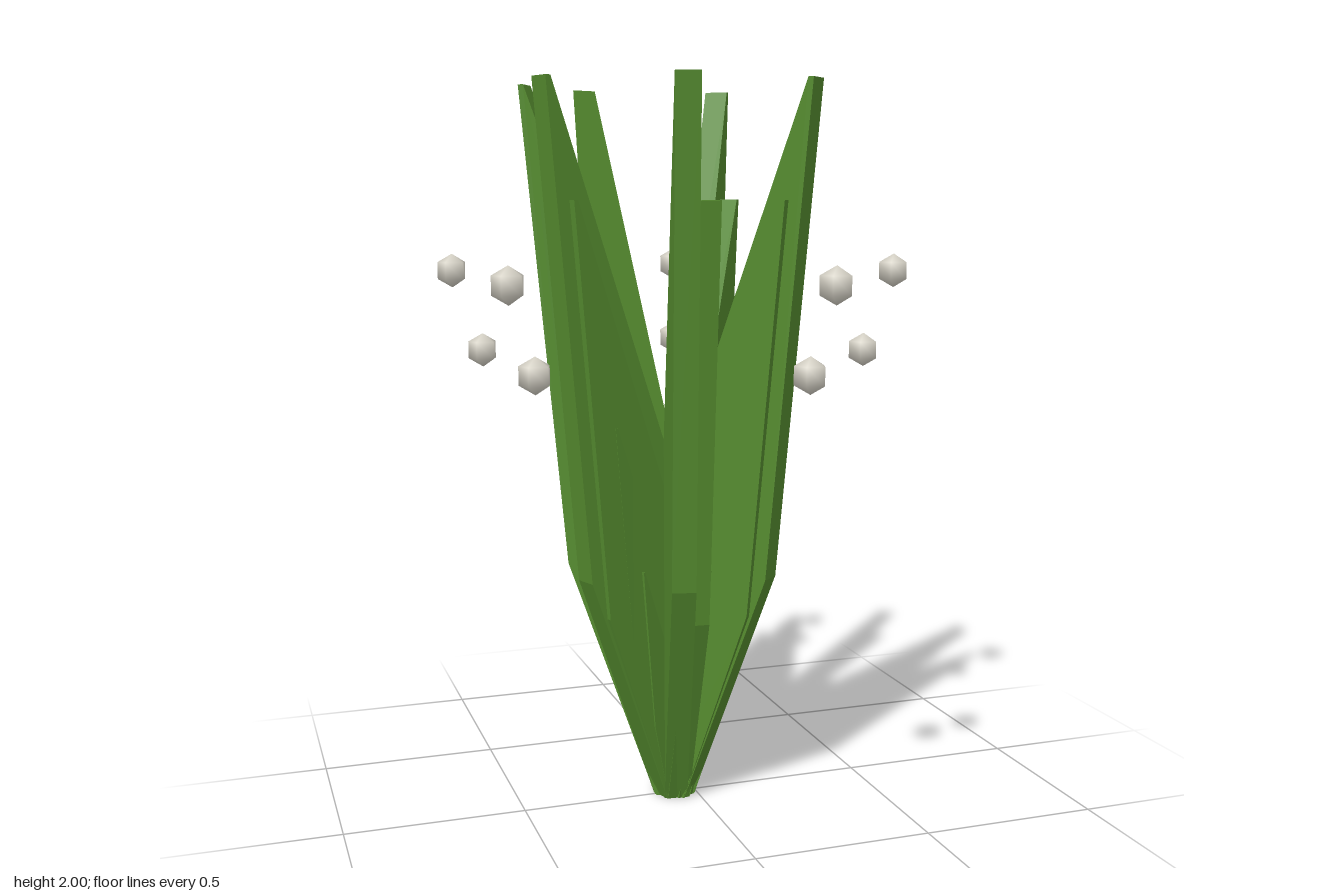
import * as THREE from 'three';

const TALL = 2;
const CENTRE_X = -0.06;

// Blade: flat slab, kinked outer edge, slanting inner edge; all sizes share one outline
function bladeGeometry(height) {
  const s = height / TALL;
  const outline = [[-0.02, 0], [0.05, 0], [0.30, 0.67], [0.425, 2], [0.41, 2], [0, 0.88], [-0.02, 0.6]];
  const shape = new THREE.Shape(outline.map(([r, y]) => new THREE.Vector2(
    y === 0 ? r : r * s, y * s)));
  const width = 0.045 + 0.02 * s;
  const geometry = new THREE.ExtrudeGeometry(shape, { depth: width, bevelEnabled: false });
  geometry.translate(0, 0, -width / 2);
  return geometry;
}

export function createModel() {
  const leafGreen = new THREE.MeshStandardMaterial({ color: 0x558b2f });
  const budWhite = new THREE.MeshStandardMaterial({ color: 0xd8d4c8 });
  leafGreen.name = 'leafGreen';
  budWhite.name = 'budWhite';

  const plant = new THREE.Group();
  plant.name = 'plant';

  // Tiers of blades: height and compass angles in degrees (0 = +x, 90 = +z)
  const tiers = [
    { name: 'tallBlade', height: 2, angles: [-3, 46.5, 102.7, 160.4, 211, 250, 306] },
    { name: 'middleBlade', height: 1.69, angles: [6, 50, 93, 157, 201, 249, 315] },
    { name: 'shortBlade', height: 1.09, angles: [8, 49, 97, 156, 206, 273, 324] },
    { name: 'tinyBlade', height: 0.68, angles: [28, 67, 152, 320] },
  ];
  for (const { name, height, angles } of tiers) {
    const geometry = bladeGeometry(height);
    for (const angle of angles) {
      const blade = new THREE.Mesh(geometry, leafGreen);
      blade.name = name;
      blade.rotation.y = -THREE.MathUtils.degToRad(angle);
      plant.add(blade);
    }
  }

  // Five pairs of small round buds around the blades
  const budGeometry = new THREE.SphereGeometry(0.048, 5, 3);
  budGeometry.rotateY(-Math.PI / 2);
  for (let i = 0; i < 5; i++) {
    const a = (i * 2 * Math.PI) / 5;
    for (const [radius, y] of [[0.666, 1.49], [0.575, 1.265]]) {
      const bud = new THREE.Mesh(budGeometry, budWhite);
      bud.name = 'bud';
      bud.position.set(radius * Math.cos(a), y, radius * Math.sin(a));
      plant.add(bud);
    }
  }

  plant.position.x = CENTRE_X;
  const model = new THREE.Group();
  model.name = 'spikyPlant';
  model.add(plant);
  return model;
}
